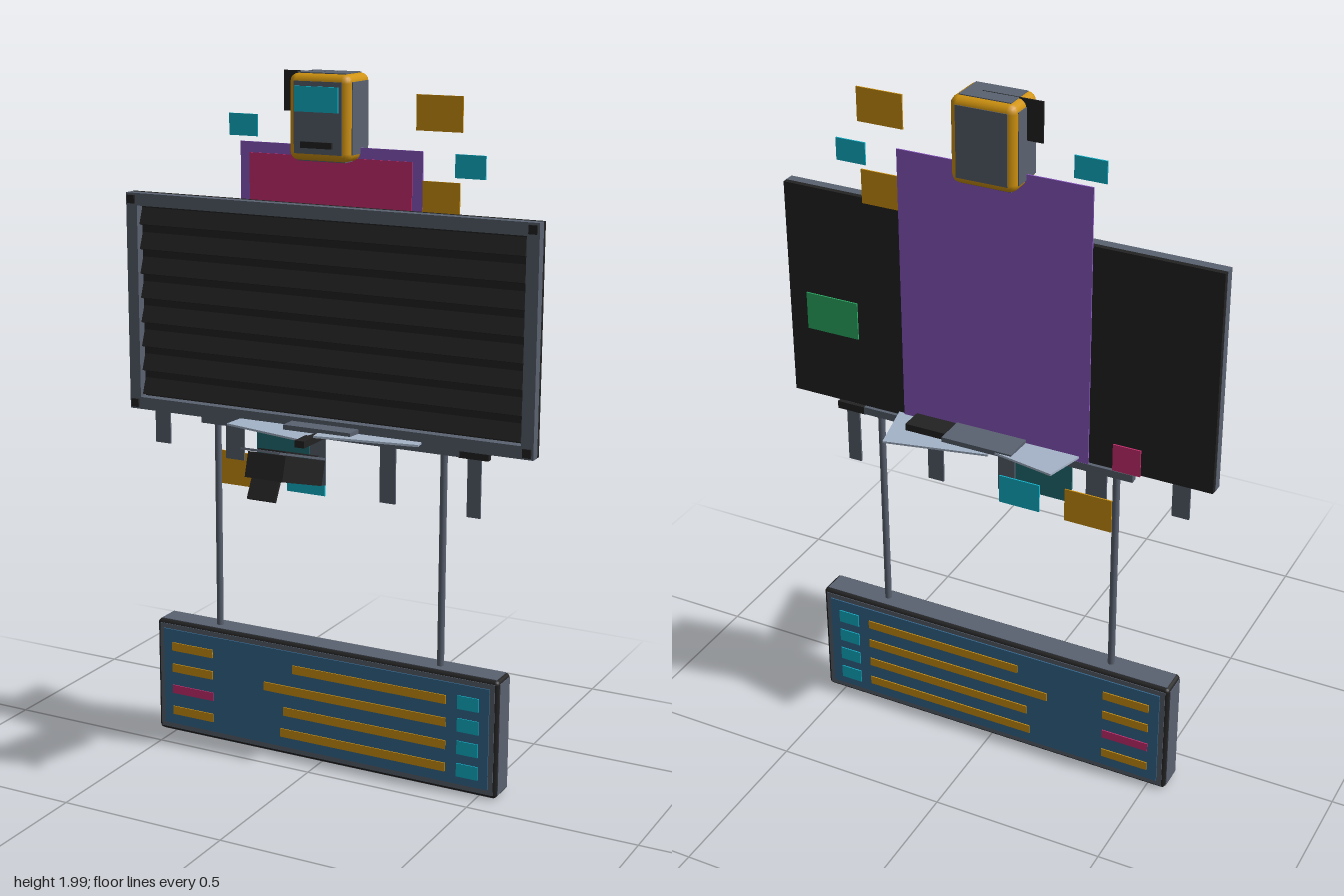
import * as THREE from 'three';
import { RoundedBoxGeometry } from 'three/addons/geometries/RoundedBoxGeometry.js';

const mat = (name, color) => {
  const m = new THREE.MeshStandardMaterial({ color });
  m.name = name;
  return m;
};

export function createModel() {
  const slate = mat('slate metal', 0x5a6270);
  const black = mat('black', 0x222222);
  const blue = mat('screen blue', 0x366a92);
  const amber = mat('amber', 0xd0930f);
  const cyan = mat('cyan', 0x12b8d0);
  const magenta = mat('magenta', 0xcf2e72);
  const purple = mat('purple', 0x8e5ac6);
  const pale = mat('pale blue', 0xa5b4c8);
  const teal = mat('teal', 0x237078);
  const green = mat('green', 0x2cb066);

  const root = new THREE.Group();
  root.name = 'signTower';
  const group = (name, parent = root) => {
    const g = new THREE.Group();
    g.name = name;
    parent.add(g);
    return g;
  };
  const box = (parent, name, m, w, h, d, x, y, z) => {
    const mesh = new THREE.Mesh(new THREE.BoxGeometry(w, h, d), m);
    mesh.name = name;
    mesh.position.set(x, y, z);
    parent.add(mesh);
    return mesh;
  };
  // thin plate given by its left, right, bottom and top edges
  const plate = (parent, name, m, x0, x1, y0, y1, z, d = 0.004) =>
    box(parent, name, m, x1 - x0, y1 - y0, d, (x0 + x1) / 2, (y0 + y1) / 2, z);
  // box whose rounded edges and flat faces have different colours
  const edgedBox = (parent, name, edge, face, w, h, d, c, x, y, z) => {
    const g = group(name, parent);
    g.position.set(x, y, z);
    const e = new THREE.Mesh(new RoundedBoxGeometry(w, h, d, 2, c), edge);
    e.name = 'edges';
    g.add(e);
    const t = 0.003, k = 1.7 * c;
    box(g, 'sideFaces', face, w + t, h - k, d - k, 0, 0, 0);
    box(g, 'endFaces', face, w - k, h + t, d - k, 0, 0, 0);
    box(g, 'frontAndBackFaces', face, w - k, h - k, d + t, 0, 0, 0);
    return g;
  };

  // lower display board, with the same listing on both sides
  const board = group('displayBoard');
  edgedBox(board, 'boardCase', black, slate, 1.11, 0.352, 0.088, 0.012, 0, 0.184, -0.122);
  for (const s of [1, -1]) {
    plate(board, 'screen', blue, -0.53, 0.53, 0.034, 0.335, -0.122 + s * 0.047);
    [-0.09, -0.185, -0.12, -0.13].forEach((start, i) => {
      const y = 0.282 - i * 0.068, z = -0.122 + s * 0.05;
      plate(board, 'shortBar', i === 2 ? magenta : amber, -0.5, -0.36, y - 0.013, y + 0.013, z);
      plate(board, 'longBar', amber, start, 0.4, y - 0.013, y + 0.013, z);
      plate(board, 'marker', cyan, 0.435, 0.5, y - 0.02, y + 0.02, z);
    });
  }

  // support poles and cross rail
  for (const s of [-1, 1]) {
    const pole = new THREE.Mesh(new THREE.CylinderGeometry(0.01, 0.01, 0.65, 10), slate);
    pole.name = 'pole';
    pole.position.set(s * 0.36, 0.675, -0.12);
    root.add(pole);
  }
  box(root, 'crossRail', slate, 0.82, 0.022, 0.022, 0, 0.989, -0.12);
  box(root, 'railEnd', black, 0.09, 0.022, 0.02, 0.45, 0.987, -0.12);

  // large louvred panel
  const panel = group('louvrePanel');
  box(panel, 'backSheet', black, 1.27, 0.636, 0.015, 0, 1.321, -0.1175);
  for (const s of [-1, 1]) {
    box(panel, 'frameSide', slate, 0.036, 0.636, 0.028, s * 0.618, 1.321, -0.096);
    box(panel, 'frameRail', slate, 1.2, 0.036, 0.028, 0, 1.321 + s * 0.3, -0.096);
    for (const t of [-1, 1])
      box(panel, 'cornerBolt', black, 0.024, 0.024, 0.008, s * 0.618, 1.321 + t * 0.3, -0.08);
  }
  for (let i = 0; i < 8; i++) {
    const slat = box(panel, 'slat', black, 1.19, 0.05, 0.008, 0, 1.071 + i * 0.0715, -0.098);
    slat.rotation.x = -0.35;
  }

  // strips hanging under the panel
  for (const [x0, x1, y0] of [[-0.57, -0.52, 0.9], [-0.33, -0.27, 0.88], [-0.055, -0.005, 0.84],
    [0.167, 0.215, 0.815], [0.433, 0.473, 0.81]])
    plate(root, 'hangingStrip', slate, x0, x1, y0, 1.01, -0.116, 0.006);

  // floating coloured plates
  const sheets = group('floatingPlates');
  plate(sheets, 'purpleBackdrop', purple, -0.28, 0.28, 1.0, 1.8, -0.128);
  plate(sheets, 'magentaFront', magenta, -0.25, 0.25, 1.62, 1.77, -0.125);
  for (const [m, x0, x1, y0, y1] of [
    [cyan, -0.315, -0.225, 1.815, 1.876], [amber, 0.26, 0.395, 1.855, 1.95],
    [cyan, 0.375, 0.463, 1.735, 1.798], [amber, 0.281, 0.39, 1.625, 1.722],
    [black, -0.14, 0.03, 1.89, 2.0]])
    plate(sheets, 'upperPlate', m, x0, x1, y0, y1, -0.126);
  plate(sheets, 'tealPlate', teal, -0.23, -0.06, 0.86, 1.01, -0.121);
  plate(sheets, 'lowerAmberPlate', amber, -0.35, -0.21, 0.8, 0.9, -0.124);
  plate(sheets, 'lowerCyanPlate', cyan, -0.135, -0.012, 0.805, 0.89, -0.126);
  plate(sheets, 'greenPatch', green, 0.42, 0.58, 1.21, 1.32, -0.127);
  plate(sheets, 'magentaPatch', magenta, -0.43, -0.35, 1.0, 1.08, -0.127);

  // head unit on top
  const head = group('headUnit');
  edgedBox(head, 'headCase', amber, slate, 0.186, 0.235, 0.136, 0.024, 0, 1.881, -0.124);
  plate(head, 'headScreen', cyan, -0.068, 0.063, 1.897, 1.965, -0.052, 0.008);
  plate(head, 'headSlot', black, -0.05, 0.045, 1.8, 1.817, -0.052, 0.008);

  // centre tray with two splayed wings
  const tray = group('tray');
  box(tray, 'trayPlate', slate, 0.21, 0.014, 0.19, 0.01, 1.02, -0.125);
  box(tray, 'trayBlock', black, 0.12, 0.02, 0.065, 0.175, 1.02, -0.172);
  const left = box(tray, 'wing', pale, 0.264, 0.006, 0.236, -0.122, 1.013, -0.115);
  left.rotation.set(0.06, -0.195, 0);
  const right = box(tray, 'wing', pale, 0.297, 0.006, 0.236, 0.147, 1.008, -0.128);
  right.rotation.set(-0.06, 0.2, 0);
  box(tray, 'arm', black, 0.03, 0.02, 0.12, 0, 1.0, -0.01);

  // tilted lamp box in front of the panel
  const lamp = group('lampBox');
  lamp.position.set(0, 0.95, 0.13);
  lamp.rotation.x = -0.29;
  box(lamp, 'lampBody', black, 0.115, 0.07, 0.235, 0, 0, 0);
  box(lamp, 'lampHood', slate, 0.12, 0.006, 0.275, 0, 0.04, 0.02);
  box(lamp, 'hoodInset', black, 0.085, 0.006, 0.195, 0, 0.044, -0.005);
  box(lamp, 'frontFlap', black, 0.085, 0.075, 0.01, 0, -0.055, 0.105).rotation.x = -0.2;

  return root;
}
